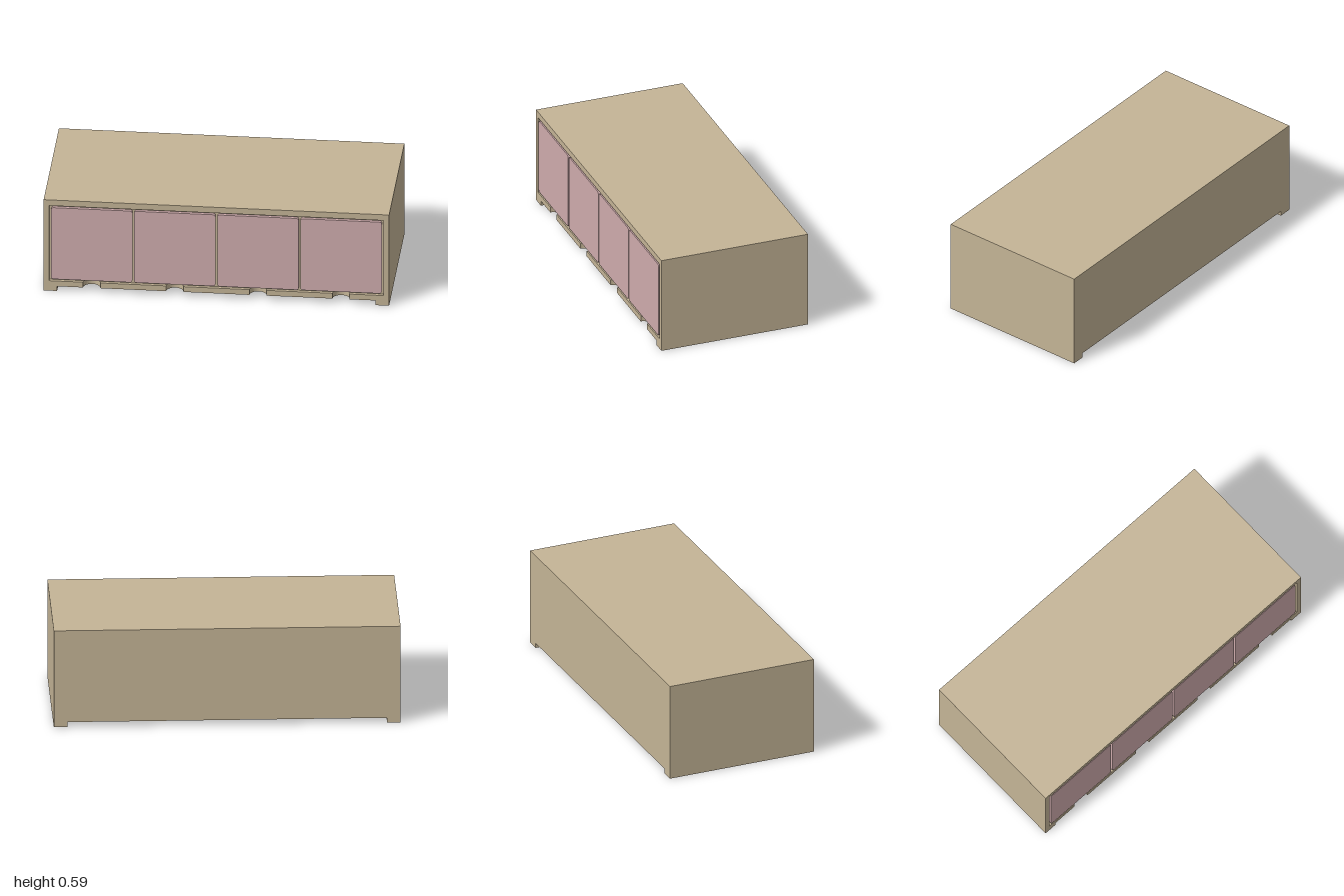
import * as THREE from 'three';

const wood = new THREE.MeshStandardMaterial({ color: 0xc4b496 });
const pink = new THREE.MeshStandardMaterial({ color: 0xcfacad });

const W = 1, H = 0.587, D = 0.453;            // half width, height, half depth
const IN = 0.968, FLOOR = 0.064, CEIL = 0.55; // opening in the front
const RECESS = 0.02, BASE = 0.03, NOTCH_R = 0.05, NOTCH_TOP = 0.1;
const BAYS = [-0.722, -0.241, 0.241, 0.722];  // door centres

function extrude(shape, depth, curveSegments = 16) {
  return new THREE.ExtrudeGeometry(shape, { depth, bevelEnabled: false, curveSegments });
}

function add(group, name, geometry, material) {
  const mesh = new THREE.Mesh(geometry, material);
  mesh.name = name;
  group.add(mesh);
  return mesh;
}

// Horizontal slab with round finger notches along its front edge
function notchedSlab(front, y0, y1) {
  const a = Math.asin((D - front) / NOTCH_R);
  const s = new THREE.Shape();
  s.moveTo(-IN, -front);
  for (const x of BAYS) {
    s.lineTo(x - NOTCH_R * Math.cos(a), -front);
    s.absarc(x, -D, NOTCH_R, Math.PI - a, a, true);
  }
  s.lineTo(IN, -front);
  s.lineTo(IN, D);
  s.lineTo(-IN, D);
  s.closePath();
  return extrude(s, y1 - y0).rotateX(-Math.PI / 2).translate(0, y0, 0);
}

function doorShape(w, h, r) {
  const x = w / 2, y = h / 2;
  const s = new THREE.Shape();
  s.absarc(x - r, y - r, r, 0, Math.PI / 2);
  s.absarc(-x + r, y - r, r, Math.PI / 2, Math.PI);
  s.absarc(-x + r, -y + r, r, Math.PI, Math.PI * 1.5);
  s.absarc(x - r, -y + r, r, Math.PI * 1.5, Math.PI * 2);
  s.closePath();
  return s;
}

export function createModel() {
  const model = new THREE.Group();
  model.name = 'lowCabinet';

  // Top and sides in one piece, with a runner foot under each side
  const shell = new THREE.Shape([
    [-W, 0], [-0.922, 0], [-0.922, BASE], [-IN, BASE], [-IN, CEIL],
    [IN, CEIL], [IN, BASE], [0.922, BASE], [0.922, 0], [W, 0], [W, H], [-W, H],
  ].map(([x, y]) => new THREE.Vector2(x, y)));
  add(model, 'shell', extrude(shell, 2 * D).translate(0, 0, -D), wood);

  // Bottom rail and the finger recesses that continue up behind the doors
  add(model, 'bottomPanel', notchedSlab(D, BASE, FLOOR), wood);
  add(model, 'lowerBody', notchedSlab(D - RECESS, FLOOR, NOTCH_TOP), wood);

  // Body behind the doors, closing the back
  const body = add(model, 'body',
    new THREE.BoxGeometry(2 * IN, CEIL - NOTCH_TOP, 2 * D - RECESS), wood);
  body.position.set(0, (CEIL + NOTCH_TOP) / 2, -RECESS / 2);

  // Four flush doors with softened corners
  const doorGeo = extrude(doorShape(0.471, 0.462, 0.015), RECESS, 6);
  BAYS.forEach((x, i) => {
    add(model, `door${i + 1}`, doorGeo, pink).position.set(x, 0.307, D - RECESS);
  });

  return model;
}
